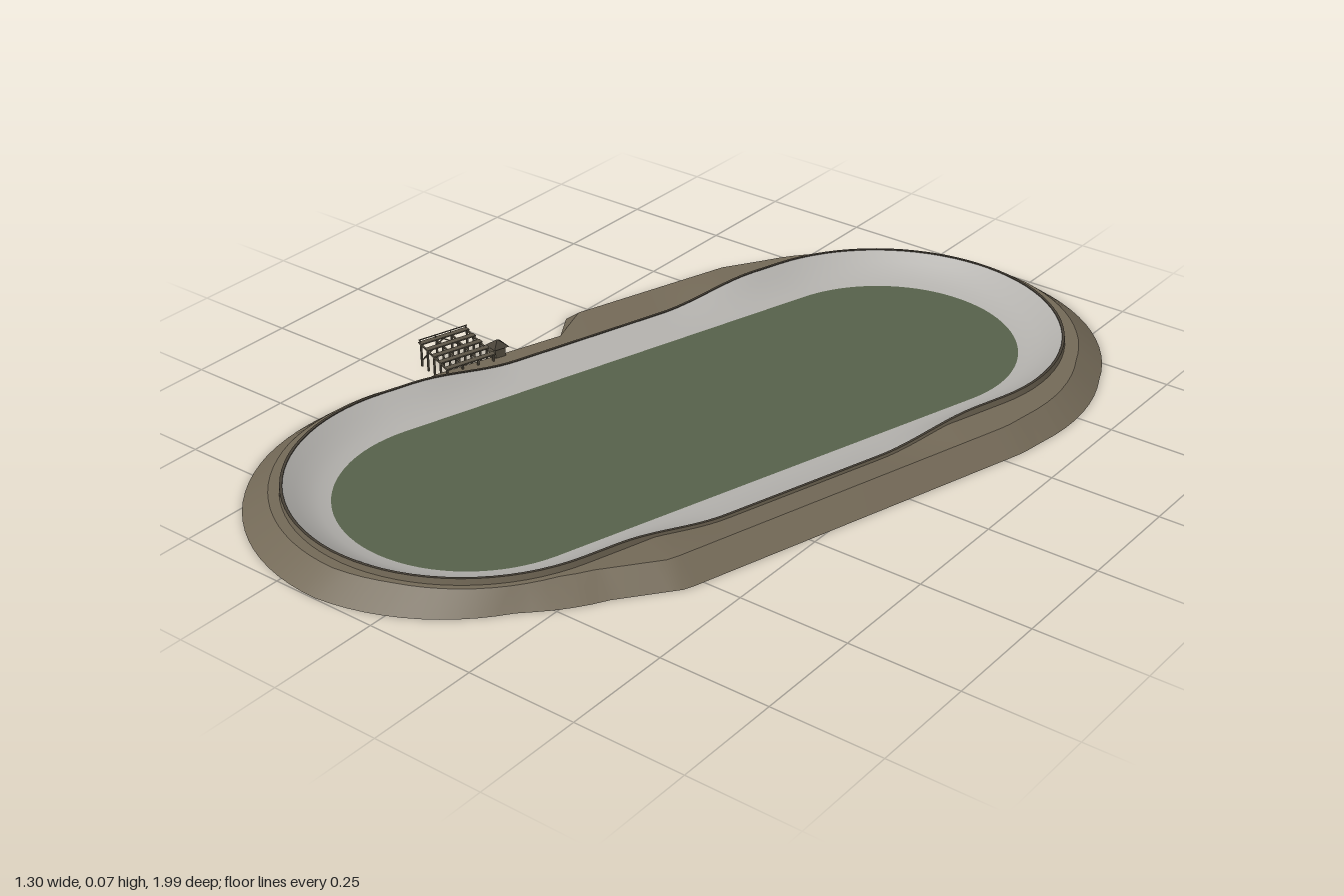
import * as THREE from 'three';

const HALF = 0.541;   // half length of the straights
const STEPS = 40;     // samples per quarter of the loop

const mat = (name, color, side = THREE.DoubleSide) => {
  const m = new THREE.MeshStandardMaterial({ color, side });
  m.name = name;
  return m;
};

// Point at distance d from the spine; t: 0-1 right straight, 1-2 far bend, 2-3 left straight, 3-4 near bend
function loopPoint(t, d, y) {
  const q = Math.floor(t) % 4, f = t - Math.floor(t), a = f * Math.PI;
  const side = q < 2 ? 1 : -1;
  return q % 2 === 0
    ? [side * d, y, side * HALF * (1 - 2 * f)]
    : [side * d * Math.cos(a), y, side * (-HALF - d * Math.sin(a))];
}

// Linear interpolation through [t, value] keys
function keyed(keys, t) {
  for (let i = 1; i < keys.length; i++) {
    const [t0, v0] = keys[i - 1], [t1, v1] = keys[i];
    if (t <= t1) return v0 + (v1 - v0) * (t - t0) / (t1 - t0);
  }
  return keys[keys.length - 1][1];
}

// Sweep a cross-section of [distance, height] pairs around the closed loop
function sweep(section) {
  const pos = [], idx = [], n = section(0).length, rings = STEPS * 4;
  for (let i = 0; i < rings; i++) {
    const t = i / STEPS;
    for (const [d, y] of section(t)) pos.push(...loopPoint(t, d, y));
    for (let j = 0; j < n - 1; j++) {
      const a = i * n + j, b = ((i + 1) % rings) * n + j;
      idx.push(a, a + 1, b, a + 1, b + 1, b);
    }
  }
  const g = new THREE.BufferGeometry();
  g.setAttribute('position', new THREE.Float32BufferAttribute(pos, 3));
  g.setIndex(idx);
  g.computeVertexNormals();
  return g;
}

// Track rim: high round the bends, lower along the straights
function rimY(t) {
  const q = Math.floor(t) % 4, f = t - Math.floor(t);
  const s = q % 2 ? HALF : Math.abs(HALF * (2 * f - 1));
  return 0.025 + 0.029 * THREE.MathUtils.smoothstep(s, 0.2, 0.46);
}

// Foot of the embankment, with a cut on the left straight for the stand
const FOOT = [[0, 0.485], [0.13, 0.54], [0.94, 0.535], [1.2, 0.49], [1.5, 0.48], [1.83, 0.455],
  [2.1, 0.535], [2.475, 0.54], [2.55, 0.45], [2.89, 0.45], [3, 0.475], [3.2, 0.48], [3.6, 0.48],
  [3.88, 0.45], [4, 0.485]];
const CREST_Y = [[0, 0.04], [2.475, 0.04], [2.55, 0.025], [2.85, 0.03], [3, 0.04], [4, 0.04]];
const SLOPE = [[0, 0.055], [2.475, 0.055], [2.55, 0.012], [2.85, 0.012], [3, 0.05], [3.1, 0.055], [4, 0.055]];
const foot = (t) => keyed(FOOT, t);
const crest = (t) => [Math.max(0.415, foot(t) - keyed(SLOPE, t)), keyed(CREST_Y, t)];

export function createModel() {
  const model = new THREE.Group();
  model.name = 'cycleTrack';
  const grass = mat('grass green', 0x56614a);
  const concrete = mat('track grey', 0xb3b1ad);
  const earth = mat('earth brown', 0x736957);
  const dark = mat('rim brown', 0x464036);
  const timber = mat('weathered timber', 0x5c5547, THREE.FrontSide);

  const site = new THREE.Group();
  site.name = 'site';
  site.rotation.y = -0.295;
  model.add(site);
  const add = (parent, name, geo, material, x = 0, y = 0, z = 0) => {
    const m = new THREE.Mesh(geo, material);
    m.name = name;
    m.position.set(x, y, z);
    parent.add(m);
    return m;
  };

  // Infield
  const field = new THREE.Shape();
  field.absarc(0, HALF, 0.3, 0, Math.PI);
  field.absarc(0, -HALF, 0.3, Math.PI, Math.PI * 2);
  const fieldGeo = new THREE.ShapeGeometry(field, 40);
  fieldGeo.rotateX(-Math.PI / 2);
  add(site, 'infield', fieldGeo, grass, 0, 0.004, 0);

  // Banked riding surface, steepening outward
  add(site, 'track', sweep((t) => [0, 0.25, 0.5, 0.75, 1].map((k) =>
    [0.3 + 0.095 * k, 0.004 + (rimY(t) - 0.006) * k ** 1.6])), concrete);

  // Rim wall
  add(site, 'rimTop', sweep((t) => [[0.395, rimY(t)], [0.401, rimY(t)]]), dark);
  add(site, 'rimInside', sweep((t) => [[0.395, rimY(t) - 0.003], [0.395, rimY(t)]]), dark);
  add(site, 'rimOutside', sweep((t) => [[0.401, rimY(t)], [0.403, rimY(t) - 0.018]]), earth);

  // Embankment
  add(site, 'embankmentTop', sweep((t) => [[0.402, Math.min(0.04, rimY(t) - 0.007)], crest(t)]), earth);
  add(site, 'embankmentSlope', sweep((t) => [crest(t), [foot(t), 0]]), earth);

  // Tiered stand on posts, rising away from the track
  const stand = new THREE.Group();
  stand.name = 'stand';
  stand.position.set(-0.425, 0, 0.3);
  site.add(stand);
  const ROWS = 5, LENGTH = 0.125;
  for (let r = 0; r < ROWS; r++) {
    const x = -r * 0.028, y = 0.044 + r * 0.0035;
    add(stand, 'bench', new THREE.BoxGeometry(0.014, 0.003, LENGTH), timber, x, y, 0);
    for (let p = 0; p < 4; p++) {
      const z = (p / 3 - 0.5) * (LENGTH - 0.006);
      add(stand, 'post', new THREE.BoxGeometry(0.004, y, 0.004), timber, x, y / 2, z);
    }
  }
  for (let p = 0; p < 4; p++) {
    const z = (p / 3 - 0.5) * (LENGTH - 0.006);
    const beam = add(stand, 'beam', new THREE.BoxGeometry(0.118, 0.003, 0.004), timber, -0.056, 0.048, z);
    beam.rotation.z = -0.124;
    add(stand, 'railPost', new THREE.BoxGeometry(0.002, 0.008, 0.002), timber, -0.116, 0.061, z);
  }
  add(stand, 'backRail', new THREE.BoxGeometry(0.002, 0.002, LENGTH), timber, -0.116, 0.065, 0);
  for (const side of [-1, 1]) {
    const brace = add(stand, 'brace', new THREE.BoxGeometry(0.002, 0.003, 0.07), timber, -0.116, 0.03, side * 0.03);
    brace.rotation.x = side * 0.6;
  }

  // Small hut with a pyramid roof
  const hut = new THREE.Group();
  hut.name = 'hut';
  hut.position.set(-0.443, 0, 0.218);
  site.add(hut);
  add(hut, 'hutWalls', new THREE.BoxGeometry(0.026, 0.05, 0.026), timber, 0, 0.025, 0);
  const roofGeo = new THREE.ConeGeometry(0.027, 0.016, 4).toNonIndexed();
  roofGeo.computeVertexNormals();
  roofGeo.rotateY(Math.PI / 4);
  add(hut, 'hutRoof', roofGeo, dark, 0, 0.057, 0);

  return model;
}
